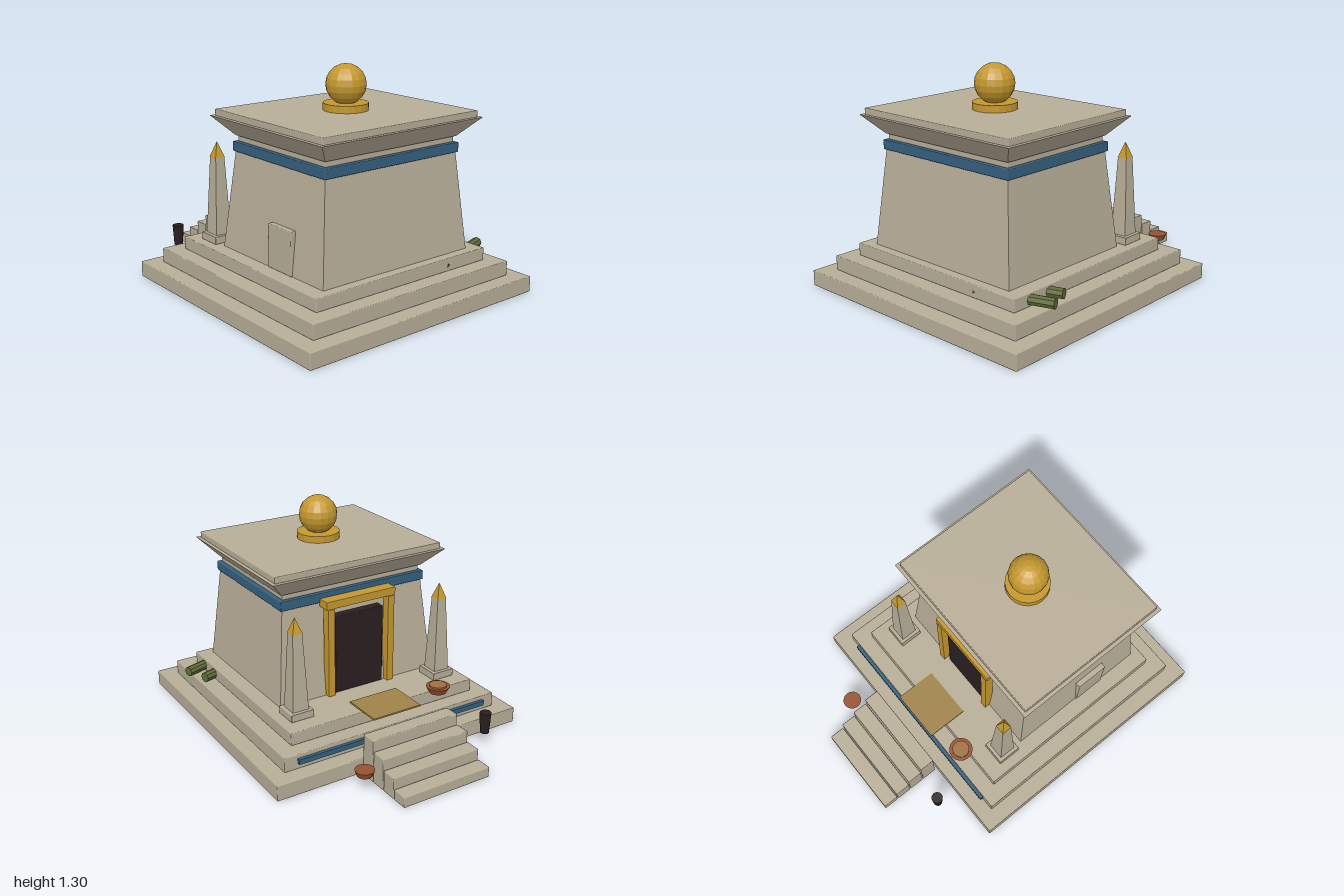
import * as THREE from 'three';
import { RoundedBoxGeometry } from 'three/addons/geometries/RoundedBoxGeometry.js';

const material = (name, color, flat = false) => {
  const m = new THREE.MeshStandardMaterial({ color, flatShading: flat });
  m.name = name;
  return m;
};

export function createModel() {
  const stone = material('stone', 0xb8ae98);
  const gold = material('gold', 0xc4982f, true);
  const blue = material('blue', 0x35607f);
  const dark = material('dark', 0x2a1e20);
  const clay = material('clay', 0x97522f);
  const grain = material('grain', 0xa06f40);
  const green = material('green', 0x5f6b38, true);
  const reed = material('reed', 0x9f8248);

  const model = new THREE.Group();
  model.name = 'temple';

  const add = (name, geometry, mat, x, y, z, parent = model) => {
    const mesh = new THREE.Mesh(geometry, mat);
    mesh.name = name;
    mesh.position.set(x, y, z);
    parent.add(mesh);
    return mesh;
  };

  // Box given by its extents, with a slight edge rounding
  const block = (name, mat, x0, x1, y0, y1, z0, z1, r = 0.005) => {
    const size = [x1 - x0, y1 - y0, z1 - z0];
    const geometry = r ? new RoundedBoxGeometry(...size, 1, r) : new THREE.BoxGeometry(...size);
    return add(name, geometry, mat, (x0 + x1) / 2, (y0 + y1) / 2, (z0 + z1) / 2);
  };

  // Four-sided tapered solid: half sizes at bottom and top, standing at y = 0
  const taper = (bx, bz, tx, tz, h) => {
    const geometry = new THREE.BoxGeometry(2, h, 2).translate(0, h / 2, 0);
    const p = geometry.attributes.position;
    for (let i = 0; i < p.count; i++) {
      const top = p.getY(i) > h / 2;
      p.setX(i, p.getX(i) * (top ? tx : bx));
      p.setZ(i, p.getZ(i) * (top ? tz : bz));
    }
    geometry.computeVertexNormals();
    return geometry;
  };

  // Stepped platform
  block('lowerTier', stone, -0.8, 0.8, 0, 0.093, -0.6, 1);
  block('middleTier', stone, -0.705, 0.705, 0.093, 0.18, -0.508, 0.905);
  block('upperTier', stone, -0.61, 0.61, 0.18, 0.255, -0.415, 0.81);
  block('platformStripe', blue, -0.625, 0.625, 0.127, 0.157, -0.528, -0.5, 0);

  // Entrance stairs
  for (let i = 0; i < 4; i++) {
    const z = -0.997 + i * 0.097;
    block('step', stone, -0.28, 0.28, 0, 0.0625 * (i + 1), z, z + 0.093);
  }

  // Sloping walls, band and flared cornice
  const cz = 0.31;
  add('walls', taper(0.52, 0.443, 0.465, 0.388, 0.56), stone, 0, 0.253, cz);
  block('wallBand', blue, -0.477, 0.477, 0.812, 0.868, cz - 0.4, cz + 0.4);
  block('neck', stone, -0.455, 0.455, 0.868, 0.905, cz - 0.378, cz + 0.378);
  add('cornice', taper(0.465, 0.388, 0.566, 0.487, 0.108), stone, 0, 0.902, cz);
  block('roofSlab', stone, -0.545, 0.545, 1.008, 1.047, cz - 0.467, cz + 0.467);

  // Roof ornament
  add('ornamentBase', new THREE.CylinderGeometry(0.126, 0.126, 0.04, 20), gold, 0, 1.068, cz);
  add('ornamentBall', new THREE.SphereGeometry(0.113, 16, 10), gold, 0, 1.188, cz);

  // Doorway with its frame
  block('door', dark, -0.16, 0.16, 0.255, 0.73, -0.14, -0.06);
  for (const s of [-1, 1]) {
    block('doorPost', gold, s * 0.2 - 0.022, s * 0.2 + 0.022, 0.255, 0.79, -0.166, -0.11, 0.004);
  }
  block('lintel', gold, -0.23, 0.23, 0.79, 0.838, -0.162, -0.08, 0.004);
  block('sideSlab', stone, -0.528, -0.47, 0.255, 0.5, 0.3, 0.5);
  block('mat', reed, -0.157, 0.157, 0.255, 0.264, -0.53, -0.285, 0);

  // Pair of obelisks
  for (const s of [-1, 1]) {
    const obelisk = new THREE.Group();
    obelisk.name = 'obelisk';
    obelisk.position.set(s * 0.48, 0.255, -0.245);
    model.add(obelisk);
    add('obeliskBase', new RoundedBoxGeometry(0.142, 0.045, 0.142, 1, 0.004), stone, 0, 0.0225, 0, obelisk);
    add('obeliskShaft', taper(0.05, 0.05, 0.029, 0.029, 0.45), stone, 0, 0.045, 0, obelisk);
    add('obeliskTip', taper(0.031, 0.031, 0.001, 0.001, 0.088), gold, 0, 0.493, 0, obelisk);
  }

  // Offering bowls and jar
  add('offeringBowl', new THREE.CylinderGeometry(0.07, 0.05, 0.038, 16), clay, -0.34, 0.28, -0.448);
  add('offering', new THREE.CylinderGeometry(0.05, 0.05, 0.012, 16), grain, -0.34, 0.302, -0.448);
  add('smallBowl', new THREE.CylinderGeometry(0.055, 0.042, 0.034, 16), clay, 0.365, 0.117, -0.757);
  add('jar', new THREE.CylinderGeometry(0.034, 0.026, 0.125, 12), dark, -0.465, 0.155, -0.73);

  // Green stems running through the upper tier
  const logs = [[0.31, 0.787, 0.45], [0.4, 0.615, 0.3]];
  for (const [x, z, length] of logs) {
    const geometry = new THREE.CylinderGeometry(0.03, 0.03, length, 8);
    geometry.rotateZ(-Math.PI / 2).translate(length / 2, 0, 0);
    add('stem', geometry, green, x, 0.216, z).rotation.y = 0.323;
  }
  return model;
}
